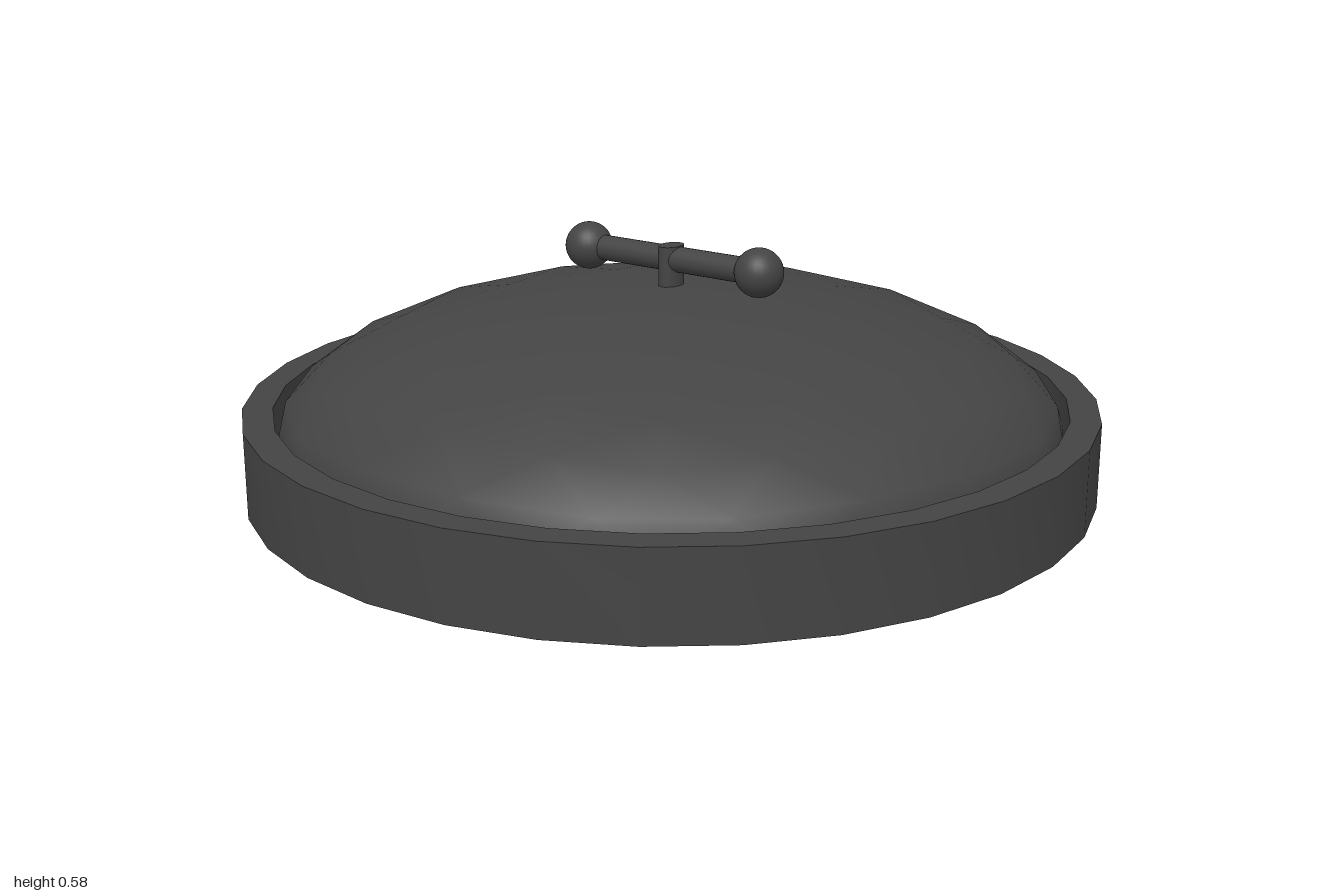
import * as THREE from 'three';
import { toCreasedNormals } from 'three/addons/utils/BufferGeometryUtils.js';

export function createModel() {
  const model = new THREE.Group();
  model.name = 'domedLid';
  const material = new THREE.MeshStandardMaterial({ color: 0x444444 });

  const add = (name, geometry, x = 0, y = 0, z = 0) => {
    const mesh = new THREE.Mesh(geometry, material);
    mesh.name = name;
    mesh.position.set(x, y, z);
    model.add(mesh);
    return mesh;
  };

  // Shallow tray: closed base, outer wall, flat lip and recessed inner wall
  const profile = [[0, 0], [1, 0], [1, 0.2], [0.93, 0.2], [0.93, 0.04], [0, 0.04]]
    .map(([r, y]) => new THREE.Vector2(r, y));
  add('rim', toCreasedNormals(new THREE.LatheGeometry(profile, 32), 0.6));

  // Flattened icosphere with one vertex turned to the top and its underside cut flat
  const dome = new THREE.IcosahedronGeometry(1, 3);
  dome.rotateZ(Math.atan((1 + Math.sqrt(5)) / 2) - Math.PI / 2);
  const p = dome.attributes.position;
  for (let i = 0; i < p.count; i++) p.setY(i, Math.max(p.getY(i), -0.22));
  dome.scale(0.93, 0.335, 0.93);
  add('dome', dome, 0, 0.13, 0);

  // Handle: post, crossbar and a ball at each end
  const handleY = 0.525;
  const post = new THREE.CylinderGeometry(1, 1, 0.107, 24);
  post.scale(0.036, 1, 0.026);
  add('handlePost', post, 0, 0.5035, 0);

  const bar = new THREE.CylinderGeometry(0.03, 0.03, 0.5, 24);
  bar.rotateX(Math.PI / 2);
  add('handleBar', bar, 0, handleY, 0);

  for (const side of [1, -1]) {
    add(side > 0 ? 'frontHandleBall' : 'backHandleBall',
      new THREE.SphereGeometry(0.057, 28, 18), 0, handleY, side * 0.248);
  }
  return model;
}
